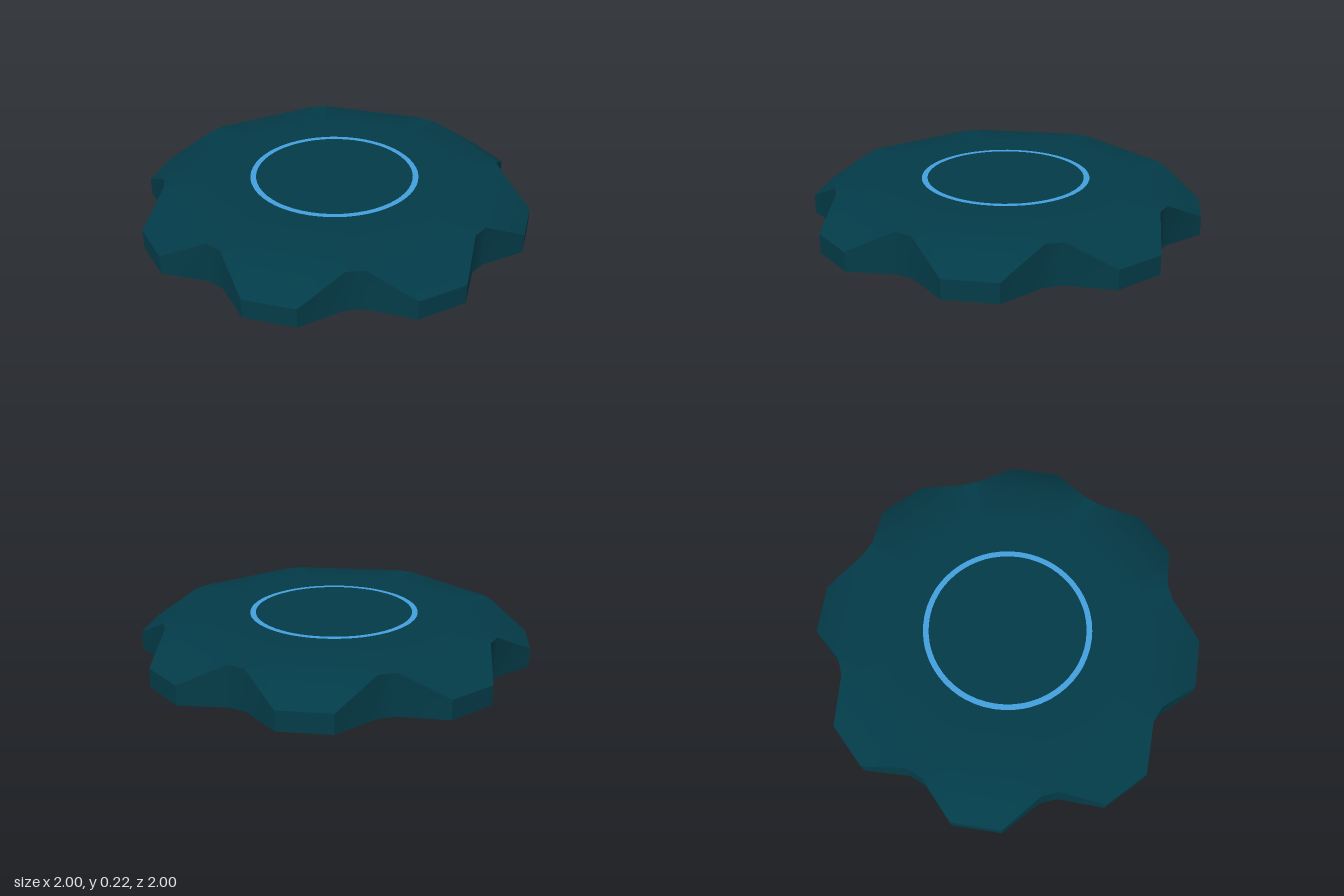
import * as THREE from 'three';
import { toCreasedNormals } from 'three/addons/utils/BufferGeometryUtils.js';

const RAD = Math.PI / 180;
const SUB = 6;          // subdivisions of each straight edge
const TOP = 0.222;      // height of the flat centre

// Point at a compass angle (degrees from the back, turning towards +x)
const polar = (r, deg, y) =>
  new THREE.Vector3(r * Math.sin(deg * RAD), y, -r * Math.cos(deg * RAD));

// SUB points from a towards b, leaving out b itself
const divide = (a, b) =>
  Array.from({ length: SUB }, (_, s) => a.clone().lerp(b, s / SUB));

// Strip of quads between two lines of equal length
function strip(out, inner, outer) {
  for (let i = 0; i < inner.length - 1; i++) {
    out.push(inner[i], inner[i + 1], outer[i + 1], inner[i], outer[i + 1], outer[i]);
  }
}
const closed = (loop) => [...loop, loop[0]];

export function createModel() {
  const group = new THREE.Group();
  const teal = new THREE.MeshStandardMaterial({ name: 'dark teal', color: 0x033b48, side: THREE.DoubleSide });
  const blue = new THREE.MeshStandardMaterial({ name: 'sky blue', color: 0x429fde, side: THREE.DoubleSide });

  function add(name, points, material) {
    const geometry = new THREE.BufferGeometry().setFromPoints(points);
    const mesh = new THREE.Mesh(toCreasedNormals(geometry, 40 * RAD), material);
    mesh.name = name;
    group.add(mesh);
  }

  // Rim: eight narrow high notches, each followed by a low lobe
  const rim = [], notches = [];
  for (let k = 0; k < 8; k++) {
    const base = k * 45 - 1;
    const notch = [polar(0.896, base - 3, 0.213), polar(0.896, base + 3, 0.213)];
    notches.push(...notch);
    rim.push(...notch, polar(1.032, base + 15.2, 0.1), polar(1.032, base + 29.8, 0.1));
  }

  // Edge of the top joins the notches with straight lines
  const edge = notches.flatMap((p, i) => divide(p, notches[(i + 1) % notches.length]));
  const circle = (r) => closed(edge.map((p) => {
    const k = r / Math.hypot(p.x, p.z);
    return new THREE.Vector3(p.x * k, TOP, p.z * k);
  }));
  const ringInner = circle(0.415), ringOuter = circle(0.445), shoulder = circle(0.65);

  // Flat centre
  const disc = [];
  const centre = new THREE.Vector3(0, TOP, 0);
  for (let i = 0; i < ringInner.length - 1; i++) disc.push(centre, ringInner[i + 1], ringInner[i]);
  add('centreDisc', disc, teal);

  // Inlaid ring
  const ring = [];
  strip(ring, ringInner, ringOuter);
  add('inlaidRing', ring, blue);

  // Top surface, with a flap folded down over each lobe
  const cover = [];
  strip(cover, ringOuter, shoulder);
  strip(cover, shoulder, closed(edge));
  for (let k = 0; k < 8; k++) {
    const start = rim[4 * k + 1], end = rim[(4 * k + 4) % 32];
    const tipA = rim[4 * k + 2], tipB = rim[4 * k + 3];
    strip(cover, [...divide(start, end), end], [...divide(tipA, tipB), tipB]);
  }
  add('scallopedTop', cover, teal);

  // Upright wall, open underneath
  const wall = [];
  const wallTop = closed(rim);
  strip(wall, wallTop, wallTop.map((p) => new THREE.Vector3(p.x, 0, p.z)));
  add('rimWall', wall, teal);

  return group;
}
